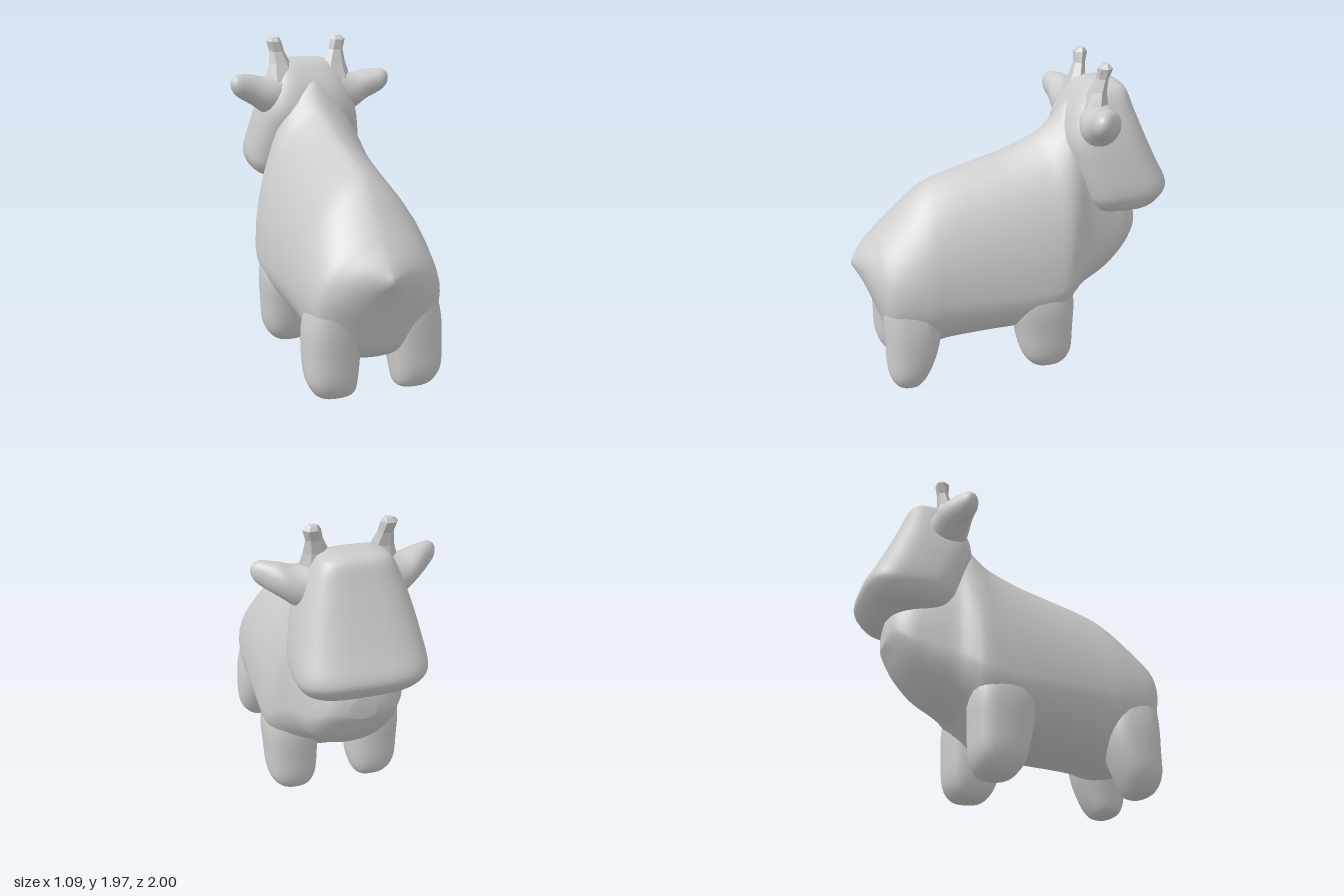
import * as THREE from 'three';

const material = new THREE.MeshStandardMaterial({ color: 0xcccccc });
const faceted = new THREE.MeshStandardMaterial({ color: 0xcccccc, flatShading: true });

// Signed power, for rounded-square sections
const sp = (v, e) => Math.sign(v) * Math.abs(v) ** e;

// Catmull-Rom blend of four numbers
function blend(a, b, c, d, t) {
  const cubic = 3 * (b - c) + d - a;
  const square = 2 * a - 5 * b + 4 * c - d;
  return b + 0.5 * t * (c - a + t * (square + t * cubic));
}

// Smoothly subdivide a list of stations (rows of numbers)
function refine(rows, steps) {
  const out = [];
  for (let i = 0; i < rows.length - 1; i++) {
    const a = rows[Math.max(i - 1, 0)], b = rows[i], c = rows[i + 1], d = rows[Math.min(i + 2, rows.length - 1)];
    for (let k = 0; k < steps; k++) {
      out.push(b.map((value, j) => blend(a[j], value, c[j], d[j], k / steps)));
    }
  }
  out.push(rows[rows.length - 1]);
  return out;
}

// Skin a closed surface over stations; pointAt(station, cos, sin) gives [x, y, z]
function loft(name, rows, pointAt, { sides = 40, steps = 5, mat = material } = {}) {
  const stations = refine(rows, steps), pos = [], index = [], n = stations.length;
  for (const s of stations) {
    for (let i = 0; i < sides; i++) {
      const a = (i / sides) * Math.PI * 2;
      pos.push(...pointAt(s, Math.cos(a), Math.sin(a)));
    }
  }
  for (let r = 0; r < n - 1; r++) {
    for (let i = 0; i < sides; i++) {
      const j = (i + 1) % sides, a = r * sides + i, b = r * sides + j;
      index.push(a, b, a + sides, b, b + sides, a + sides);
    }
  }
  // End caps
  for (const [r, flip] of [[0, true], [n - 1, false]]) {
    const centre = [0, 0, 0], c = pos.length / 3;
    for (let i = 0; i < sides; i++) {
      for (let k = 0; k < 3; k++) centre[k] += pos[(r * sides + i) * 3 + k] / sides;
    }
    pos.push(...centre);
    for (let i = 0; i < sides; i++) {
      const a = r * sides + i, b = r * sides + (i + 1) % sides;
      index.push(...(flip ? [b, a, c] : [a, b, c]));
    }
  }
  // Turn the faces outward if the signed volume is negative
  const v = (i) => new THREE.Vector3().fromArray(pos, i * 3);
  let volume = 0;
  for (let i = 0; i < index.length; i += 3) {
    volume += v(index[i]).dot(v(index[i + 1]).cross(v(index[i + 2])));
  }
  if (volume < 0) index.reverse();
  const geo = new THREE.BufferGeometry();
  geo.setAttribute('position', new THREE.Float32BufferAttribute(pos, 3));
  geo.setIndex(index);
  geo.computeVertexNormals();
  const mesh = new THREE.Mesh(geo, mat);
  mesh.name = name;
  return mesh;
}

// Body from rump to chest: z, top, widest height, bottom, half width
const bodyRows = [
  [1.0, 0.79, 0.77, 0.75, 0.015],
  [0.94, 0.87, 0.75, 0.64, 0.14],
  [0.87, 0.94, 0.66, 0.46, 0.29],
  [0.79, 1.02, 0.6, 0.25, 0.385],
  [0.6, 1.2, 0.6, 0.19, 0.42],
  [0.45, 1.285, 0.6, 0.22, 0.425],
  [0.2, 1.36, 0.6, 0.24, 0.435],
  [0, 1.42, 0.6, 0.25, 0.445],
  [-0.2, 1.51, 0.61, 0.28, 0.45],
  [-0.3, 1.6, 0.65, 0.36, 0.44],
  [-0.37, 1.68, 0.7, 0.43, 0.4],
  [-0.45, 1.7, 0.75, 0.47, 0.34],
  [-0.6, 1.5, 0.8, 0.55, 0.29],
  [-0.72, 1.28, 0.85, 0.68, 0.25],
  [-0.8, 1.1, 0.9, 0.81, 0.18],
  [-0.83, 1.0, 0.91, 0.86, 0.08],
];
const bodyPoint = ([z, top, mid, bottom, w], c, s) => [
  w * sp(c, s > 0 ? 1.3 : 0.9),
  mid + s * (s > 0 ? top - mid : mid - bottom),
  z,
];

// Head from crown to chin: y, back z, front z, half width
const headRows = [
  [1.825, -0.55, -0.67, 0.1],
  [1.79, -0.47, -0.73, 0.2],
  [1.66, -0.37, -0.785, 0.27],
  [1.5, -0.32, -0.855, 0.325],
  [1.35, -0.35, -0.925, 0.36],
  [1.2, -0.4, -0.998, 0.385],
  [1.12, -0.43, -0.97, 0.375],
  [1.05, -0.48, -0.9, 0.32],
  [1.02, -0.54, -0.82, 0.2],
];
const headPoint = ([y, z0, z1, w], c, s) => [w * sp(c, 0.62), y, (z0 + z1) / 2 + (z0 - z1) / 2 * sp(s, 0.62)];

// Legs from foot to hip: y, back z, front z, inner x, outer x
const frontLegRows = [
  [0.012, -0.15, -0.24, 0.2, 0.3],
  [0.04, -0.08, -0.3, 0.15, 0.37],
  [0.13, -0.02, -0.345, 0.115, 0.425],
  [0.3, 0.02, -0.355, 0.1, 0.44],
  [0.5, 0.05, -0.355, 0.1, 0.445],
  [0.72, 0, -0.3, 0.14, 0.4],
];
const rearLegRows = [
  [0, 0.76, 0.66, 0.18, 0.31],
  [0.03, 0.81, 0.63, 0.13, 0.37],
  [0.12, 0.845, 0.58, 0.11, 0.42],
  [0.28, 0.85, 0.52, 0.09, 0.43],
  [0.45, 0.855, 0.5, 0.08, 0.42],
  [0.66, 0.85, 0.52, 0.08, 0.37],
];
const legPoint = (side) => ([y, z0, z1, x0, x1], c, s) => [
  side * ((x0 + x1) / 2 + (x1 - x0) / 2 * sp(c, 0.8)),
  y,
  (z0 + z1) / 2 + (z0 - z1) / 2 * sp(s, 0.8),
];

// Ears from root to tip: x, y, z, half height, half depth
const earRows = [
  [0.16, 1.59, -0.52, 0.16, 0.13],
  [0.3, 1.6, -0.51, 0.125, 0.12],
  [0.4, 1.645, -0.495, 0.1, 0.1],
  [0.49, 1.675, -0.455, 0.075, 0.065],
  [0.53, 1.685, -0.445, 0.045, 0.035],
  [0.543, 1.69, -0.445, 0.015, 0.012],
];
const earPoint = (side) => ([x, y, z, ry, rz], c, s) => [side * x, y + ry * s, z + rz * c];

// Horns from base to tip: y, x, z, half width, half depth
const hornRows = [
  [1.68, 0.18, -0.5, 0.12, 0.09],
  [1.8, 0.19, -0.52, 0.075, 0.05],
  [1.88, 0.205, -0.54, 0.05, 0.035],
  [1.945, 0.222, -0.55, 0.052, 0.045],
  [1.97, 0.215, -0.555, 0.03, 0.02],
];
const hornPoint = (side) => ([y, x, z, rx, rz], c, s) => [side * (x + rx * c), y, z + rz * s];

export function createModel() {
  const model = new THREE.Group();
  model.name = 'calf';
  model.add(loft('body', bodyRows, bodyPoint), loft('head', headRows, headPoint));
  for (const [label, side] of [['left', 1], ['right', -1]]) {
    model.add(
      loft(`${label}FrontLeg`, frontLegRows, legPoint(side), { sides: 24 }),
      loft(`${label}RearLeg`, rearLegRows, legPoint(side), { sides: 24 }),
      loft(`${label}Ear`, earRows, earPoint(side), { sides: 20 }),
      loft(`${label}Horn`, hornRows, hornPoint(side), { sides: 6, steps: 1, mat: faceted }),
    );
  }
  return model;
}
